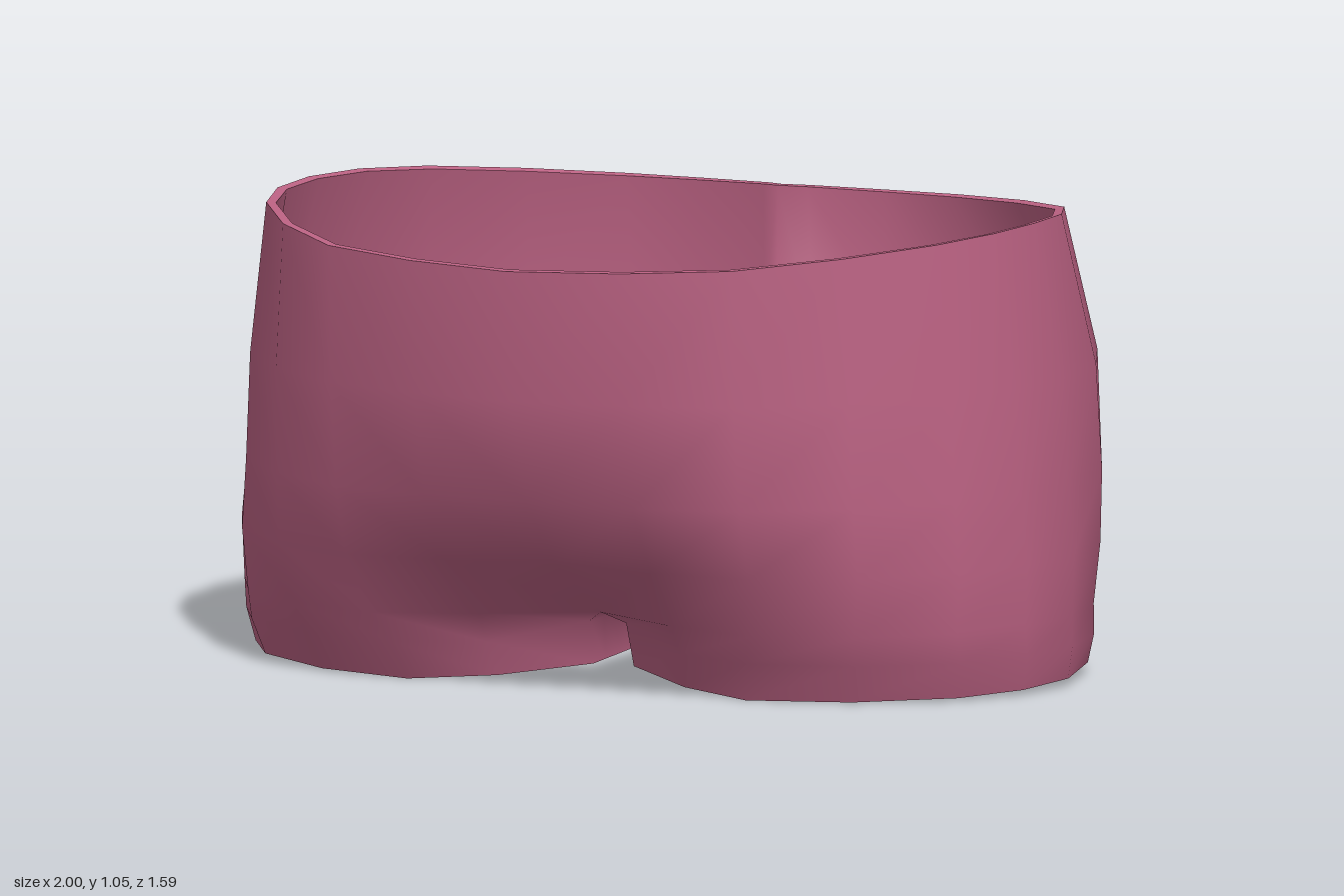
import * as THREE from 'three';
import { mergeVertices, mergeGeometries } from 'three/addons/utils/BufferGeometryUtils.js';

const THICK = 0.022;
const INNER = 4; // points closing each leg along the inner thigh

// Half cross-sections [x, z] from front centre, round the side, to the back lobe;
// the last pair is the back centre seam.
const trunk = [
  { y: 1.0, p: [0, .79, .5, .66, .83, .28, .9, -.1, .79, -.5, .41, -.755, .05, -.735, 0, -.69] },
  { y: .7, p: [0, .765, .5, .65, .87, .28, .97, -.1, .84, -.57, .41, -.795, .05, -.745, 0, -.69] },
  { y: .46, p: [0, .68, .5, .62, .88, .28, .985, -.1, .85, -.57, .41, -.76, .08, -.66, 0, -.6] },
  { y: .3, p: [0, .52, .5, .57, .89, .28, 1, -.1, .85, -.52, .41, -.65, .12, -.52, 0, -.43] },
];
const legs = [
  { y: .16, p: [0, .28, .47, .5, .88, .27, .995, -.1, .83, -.5, .42, -.585, .15, -.42, 0, -.2] },
  { y: .09, p: [.045, .24, .44, .455, .88, .25, .995, -.1, .83, -.5, .43, -.56, .14, -.39, .05, -.15] },
  { y: .015, p: [.05, .21, .42, .41, .86, .22, .985, -.1, .82, -.48, .45, -.525, .14, -.37, .055, -.13] },
];

// Height of a point: waist dips front and back, hem rises towards the back and crotch
function heightAt(row, y, x, z) {
  if (row === 0) return y + 0.05 * Math.max(0, 1 - (z / 0.77) ** 2);
  if (row === 5) return y + 0.055 * Math.max(0, 1 - x / 0.2);
  if (row === 6) return y - 0.035 * z + 0.028 * Math.max(0, 1 - x / 0.3);
  return y;
}

function sectionPoints({ y, p }, row) {
  const ctrl = [];
  for (let i = 0; i < p.length; i += 2) ctrl.push(new THREE.Vector3(p[i], 0, p[i + 1]));
  const seam = ctrl.pop();
  const pts = new THREE.CatmullRomCurve3(ctrl).getPoints(12);
  pts.push(seam);
  for (let i = 1; i <= INNER; i++) pts.push(seam.clone().lerp(ctrl[0], i / (INNER + 1)));
  pts.forEach(v => { v.y = heightAt(row, y, v.x, v.z); });
  return pts;
}

// Outer skin: both mirrored halves welded along the centre seam
function outerSkin() {
  const rows = [...trunk, ...legs].map(sectionPoints);
  const n = rows[0].length, pos = [], idx = [];
  for (const side of [1, -1]) {
    const base = pos.length / 3;
    rows.flat().forEach(v => pos.push(v.x * side, v.y, v.z));
    for (let r = 0; r < rows.length - 1; r++) {
      const cols = r < trunk.length ? n - INNER - 1 : n; // trunk is open at the seam, legs close
      for (let c = 0; c < cols; c++) {
        const a = base + r * n + c, b = base + r * n + (c + 1) % n;
        const d = a + n, e = b + n;
        if (side > 0) idx.push(a, d, b, b, d, e);
        else idx.push(a, b, d, b, e, d);
      }
    }
  }
  const geo = new THREE.BufferGeometry();
  geo.setAttribute('position', new THREE.Float32BufferAttribute(pos, 3));
  geo.setIndex(idx);
  const welded = mergeVertices(geo, 1e-4);
  welded.computeVertexNormals();
  return welded;
}

// Inner skin: offset inwards with faces reversed
function innerSkin(outer) {
  const geo = outer.clone(), p = geo.attributes.position, nrm = geo.attributes.normal;
  for (let i = 0; i < p.count; i++) {
    p.setXYZ(i, p.getX(i) - nrm.getX(i) * THICK,
      Math.max(0, p.getY(i) - nrm.getY(i) * THICK), p.getZ(i) - nrm.getZ(i) * THICK);
  }
  geo.setIndex(Array.from(outer.index.array).reverse());
  geo.computeVertexNormals();
  return geo;
}

// Edge strips joining the skins at the waist and both hems
function rims(outer, inner) {
  const ix = outer.index.array, edges = new Map(), pos = [], idx = [];
  for (let i = 0; i < ix.length; i += 3) {
    for (let k = 0; k < 3; k++) {
      const a = ix[i + k], b = ix[i + (k + 1) % 3];
      if (!edges.delete(`${b}_${a}`)) edges.set(`${a}_${b}`, [a, b]);
    }
  }
  const v = new THREE.Vector3();
  for (const [a, b] of edges.values()) {
    const s = pos.length / 3;
    for (const [g, i] of [[outer, b], [outer, a], [inner, a], [inner, b]]) {
      pos.push(...v.fromBufferAttribute(g.attributes.position, i).toArray());
    }
    idx.push(s, s + 1, s + 2, s, s + 2, s + 3);
  }
  const geo = new THREE.BufferGeometry();
  geo.setAttribute('position', new THREE.Float32BufferAttribute(pos, 3));
  geo.setIndex(idx);
  geo.computeVertexNormals();
  return geo;
}

export function createModel() {
  const group = new THREE.Group();
  group.name = 'shorts';
  const cloth = new THREE.MeshStandardMaterial({ color: 0xbd6384, side: THREE.DoubleSide });
  const outer = outerSkin(), inner = innerSkin(outer);
  const fabric = new THREE.Mesh(mergeGeometries([outer, inner]), cloth);
  fabric.name = 'fabric';
  const edging = new THREE.Mesh(rims(outer, inner), cloth);
  edging.name = 'waistAndHemEdges';
  group.add(fabric, edging);
  return group;
}
